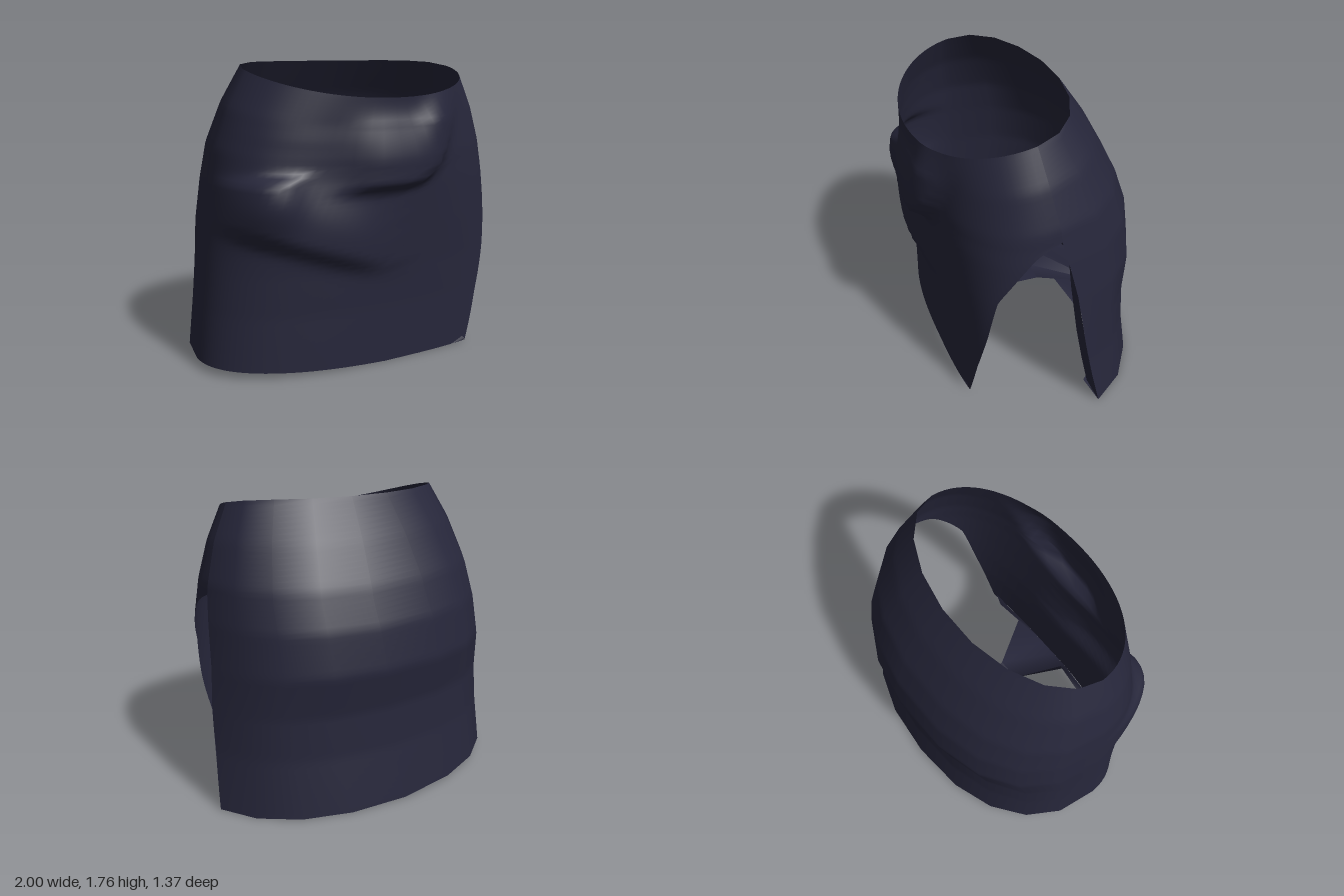
import * as THREE from 'three';

const clamp = (v, a = 0, b = 1) => Math.min(b, Math.max(a, v));
const lerp = THREE.MathUtils.lerp;
const HEM = 0.01;
const BACK_COLUMNS = 9;

// Interpolate a table whose first column is height (descending)
function sample(table, y) {
  if (y >= table[0][0]) return table[0];
  for (let i = 1; i < table.length; i++) {
    const a = table[i - 1], b = table[i];
    if (y >= b[0]) {
      const t = (a[0] - y) / (a[0] - b[0]);
      return a.map((v, k) => lerp(v, b[k], t));
    }
  }
  return table[table.length - 1];
}

// height, right half width (-x), left half width (+x), side z, back z, front z, back roundness, front roundness
const LEVELS = [
  [1.77, 0.70, 0.72, 0.13, -0.27, 0.62, 2.0, 2.1],
  [1.55, 0.80, 0.82, 0.10, -0.42, 0.60, 2.1, 2.3],
  [1.31, 0.87, 0.89, 0.06, -0.55, 0.60, 2.2, 2.5],
  [1.09, 0.90, 0.92, 0.05, -0.63, 0.59, 2.25, 2.7],
  [0.84, 0.93, 0.945, 0.04, -0.67, 0.57, 2.25, 3.0],
  [0.60, 0.95, 0.975, 0.04, -0.63, 0.55, 2.25, 3.2],
  [0.35, 0.97, 0.995, 0.04, -0.64, 0.54, 2.25, 3.3],
  [HEM, 1.00, 1.04, 0.05, -0.69, 0.54, 2.25, 3.3],
];
// height, angle of the slit's front edge, angle of its back edge
const SLIT = [
  [1.24, 0, 0], [1.17, 0.18, -0.015], [0.87, 0.58, -0.08],
  [0.5, 0.82, -0.16], [0.3, 0.955, -0.21], [HEM, 1.115, -0.29],
];

// Point on the rounded cross-section at a height and angle
function ringPoint(y, angle) {
  const [, xr, xl, zs, zb, zf, pb, pf] = sample(LEVELS, y);
  const c = Math.cos(angle), s = Math.sin(angle);
  const p = s < 0 ? pb : c < 0 ? Math.min(pf, 2.4) : pf;
  const x = Math.sign(c) * Math.abs(c) ** (2 / p) * (c < 0 ? xr : xl);
  const z = zs + Math.sign(s) * Math.abs(s) ** (2 / p) * (s < 0 ? zs - zb : zf - zs);
  const drop = 0.19 * clamp((z + 0.15) / 0.78) ** 1.7 * clamp((y - 1.1) / 0.67);
  const lift = 0.05 * clamp(-x) * clamp(1 - y / 0.5);
  return new THREE.Vector3(x, y - drop + lift, z);
}

// Angle of a column behind the slit, from its back edge round to the right side
const backAngle = (edge, i) => lerp(edge, -Math.PI, i / BACK_COLUMNS);

// A ridge that rises quickly across its lower edge and fades slowly above it
const ridge = (s, below, above) => s < 0 ? Math.exp(-((s / below) ** 2)) : Math.exp(-((s / above) ** 3));
const hump = (x, mid, width) => Math.exp(-(((x - mid) / width) ** 4));

// Draped folds across the front
function drape(p, angle) {
  const { x, y } = p;
  const rise = Math.max(0, x - 0.1);
  const pouchEdge = (y - (1.11 + 3 * rise ** 2)) / Math.hypot(1, 6 * rise);
  const pouch = 0.09 * hump(x, 0.08, 0.32) * ridge(pouchEdge, 0.04, 0.36) * clamp((1.61 - y) * 6);
  const sweep = 0.065 * hump(x, -0.48, 0.46) * ridge(y - (0.63 - 0.33 * (x + 0.05)), 0.06, 0.32);
  const shelf = 0.075 * hump(x, -0.76, 0.2) * ridge(1.14 - y + 0.1 * (x + 0.6), 0.035, 0.26);
  const out = (pouch + sweep + shelf) * clamp(Math.sin(angle) * 1.6);
  p.x += out * 0.35 * x;
  p.z += out;
  return p;
}

// Smooth sheet from rows of points
function sheet(rows) {
  const n = rows[0].length, index = [];
  for (let r = 0; r < rows.length - 1; r++) {
    for (let c = 0; c < n - 1; c++) {
      const a = r * n + c, b = a + n;
      index.push(a, b, a + 1, a + 1, b, b + 1);
    }
  }
  const g = new THREE.BufferGeometry().setFromPoints(rows.flat());
  g.setIndex(index);
  g.computeVertexNormals();
  return g;
}

// Skirt wall: broad panels behind, finer columns on the draped front
function skirtWall() {
  const rows = [], steps = 60;
  for (let r = 0; r <= steps; r++) {
    const y = lerp(1.77, HEM, r / steps);
    const [, front, back] = sample(SLIT, y);
    const row = [];
    for (let i = 0; i < BACK_COLUMNS; i++) row.push(ringPoint(y, backAngle(back, i)));
    for (let i = 0; i <= 40; i++) {
      const a = lerp(Math.PI, front, i / 40);
      row.push(drape(ringPoint(y, a), a));
    }
    rows.push(row);
  }
  return sheet(rows);
}

// Edge of the leg openings: x, y, z, then the hem point it joins
// (front: angle in degrees, back: column number)
const FRONT_EDGE = [
  [0.62, 0.03, 0.52, 63.9], [0.5, 0.12, 0.46, 72], [0.25, 0.33, 0.42, 84], [0.09, 0.285, 0.13, 89],
  [-0.06, 0.285, 0.13, 91], [-0.21, 0.33, 0.42, 97.5], [-0.47, 0.04, 0.46, 112], [-0.82, 0.06, 0.29, 144],
];
const BACK_EDGE = [
  [-0.92, 0.06, 0.05, 9], [-0.9, 0.06, -0.06, 8], [-0.86, 0.06, -0.15, 7], [-0.73, 0.05, -0.3, 6],
  [-0.4, 0.12, -0.38, 5], [-0.14, 0.29, -0.27, 4], [-0.06, 0.265, -0.18, 4], [0.09, 0.265, -0.18, 4],
  [0.17, 0.29, -0.27, 4], [0.4, 0.12, -0.38, 3], [0.74, 0.03, -0.29, 2], [0.84, 0.03, -0.17, 1],
  [0.97, 0.02, -0.2, 0],
];

export function createModel() {
  const group = new THREE.Group();
  group.name = 'skirt';
  const cloth = new THREE.MeshStandardMaterial({ color: 0x26263a, side: THREE.DoubleSide });
  cloth.name = 'dark navy cloth';
  const add = (name, geometry) => {
    const mesh = new THREE.Mesh(geometry, cloth);
    mesh.name = name;
    group.add(mesh);
  };

  // Outer skirt with side slit and draped front
  add('outerSkirt', skirtWall());

  // Underside running from the hem up to the two leg openings
  const slitBack = sample(SLIT, HEM)[2];
  const edge = [...FRONT_EDGE, ...BACK_EDGE].map(([x, y, z]) => new THREE.Vector3(x, y, z));
  const hem = [
    ...FRONT_EDGE.map((e) => ringPoint(HEM, THREE.MathUtils.degToRad(e[3]))),
    ...BACK_EDGE.map((e) => ringPoint(HEM, backAngle(slitBack, e[3]))),
  ];
  add('underside', sheet([hem, edge]));

  // Narrow strip between the legs
  add('legDivider', sheet([[edge[3], edge[4]], [edge[15], edge[14]]]));

  // Turned-in facing along the back edge of the slit
  const facing = [1.1, 0.85, 0.5, 0.25, HEM].map((y) => {
    const outer = ringPoint(y, sample(SLIT, y)[2]);
    const inset = clamp((1.1 - y) / 0.25);
    return [outer, new THREE.Vector3(lerp(outer.x, 0.85, inset), y, outer.z)];
  });
  add('slitFacing', sheet(facing));

  return group;
}
